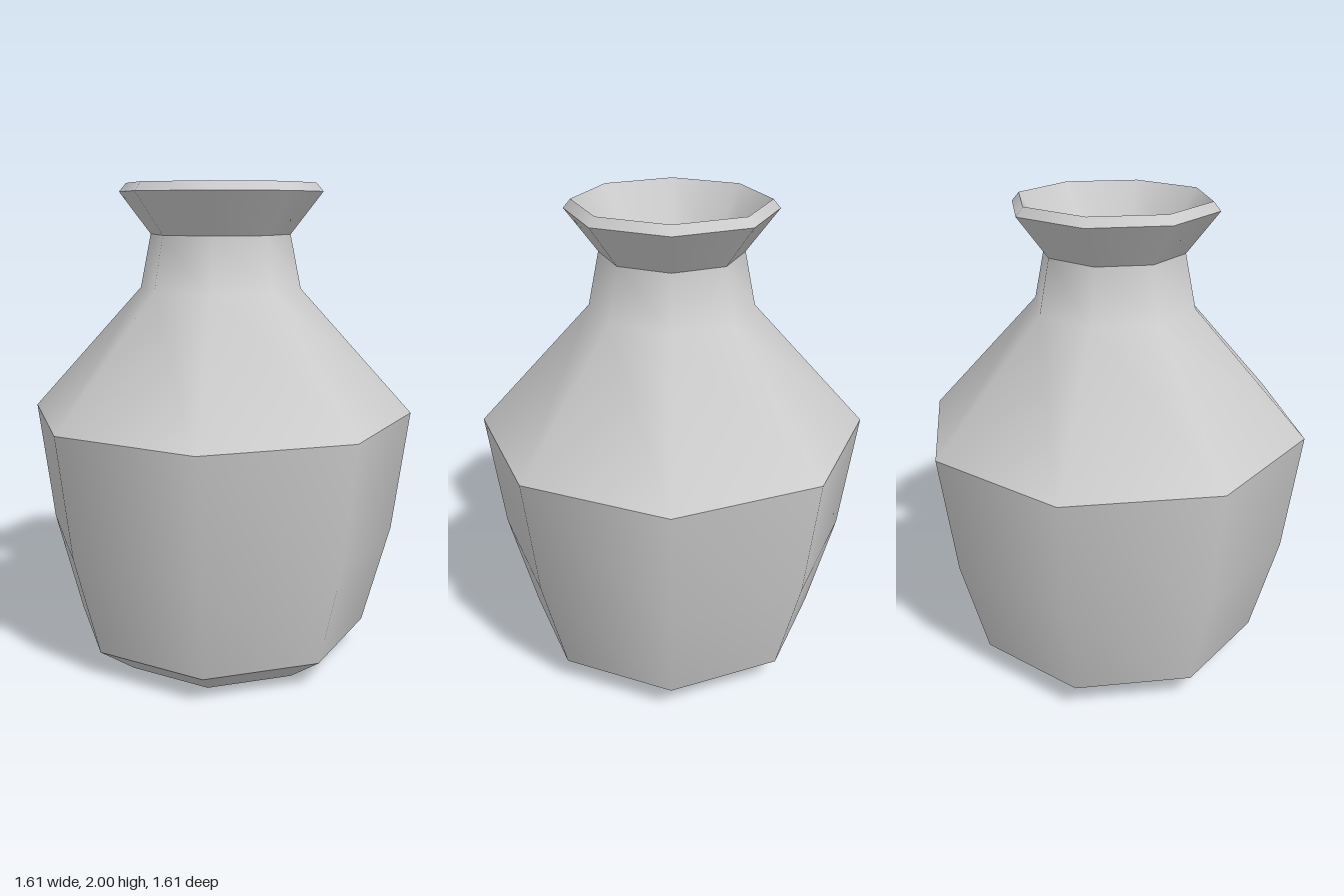
import * as THREE from 'three';

const SIDES = 8;

export function createModel() {
  const vase = new THREE.Group();
  vase.name = 'vase';

  const clay = new THREE.MeshStandardMaterial({ color: 0xcccccc });
  clay.name = 'grey clay';

  // Each band is turned from [radius, height] points: smooth within, creased between bands
  const bands = {
    base: [[0, 0], [0.47, 0]],
    foot: [[0.47, 0], [0.63, 0.12]],
    belly: [[0.63, 0.12], [0.742, 0.55], [0.805, 1.06]],
    shoulderAndNeck: [[0.805, 1.06], [0.335, 1.575], [0.29, 1.795]],
    flare: [[0.29, 1.795], [0.42, 1.965]],
    rim: [[0.42, 1.965], [0.39, 2]],
    // hollow inside, from the lip down to the floor
    innerFlare: [[0.39, 2], [0.25, 1.795]],
    innerNeckAndShoulder: [[0.25, 1.795], [0.295, 1.555], [0.755, 1.05]],
    innerBelly: [[0.755, 1.05], [0.695, 0.55], [0.59, 0.14]],
    innerFoot: [[0.59, 0.14], [0.46, 0.04]],
    innerFloor: [[0.46, 0.04], [0, 0.04]],
  };

  for (const [name, points] of Object.entries(bands)) {
    const profile = points.map(([r, y]) => new THREE.Vector2(r, y));
    const mesh = new THREE.Mesh(new THREE.LatheGeometry(profile, SIDES), clay);
    mesh.name = name;
    vase.add(mesh);
  }
  return vase;
}
